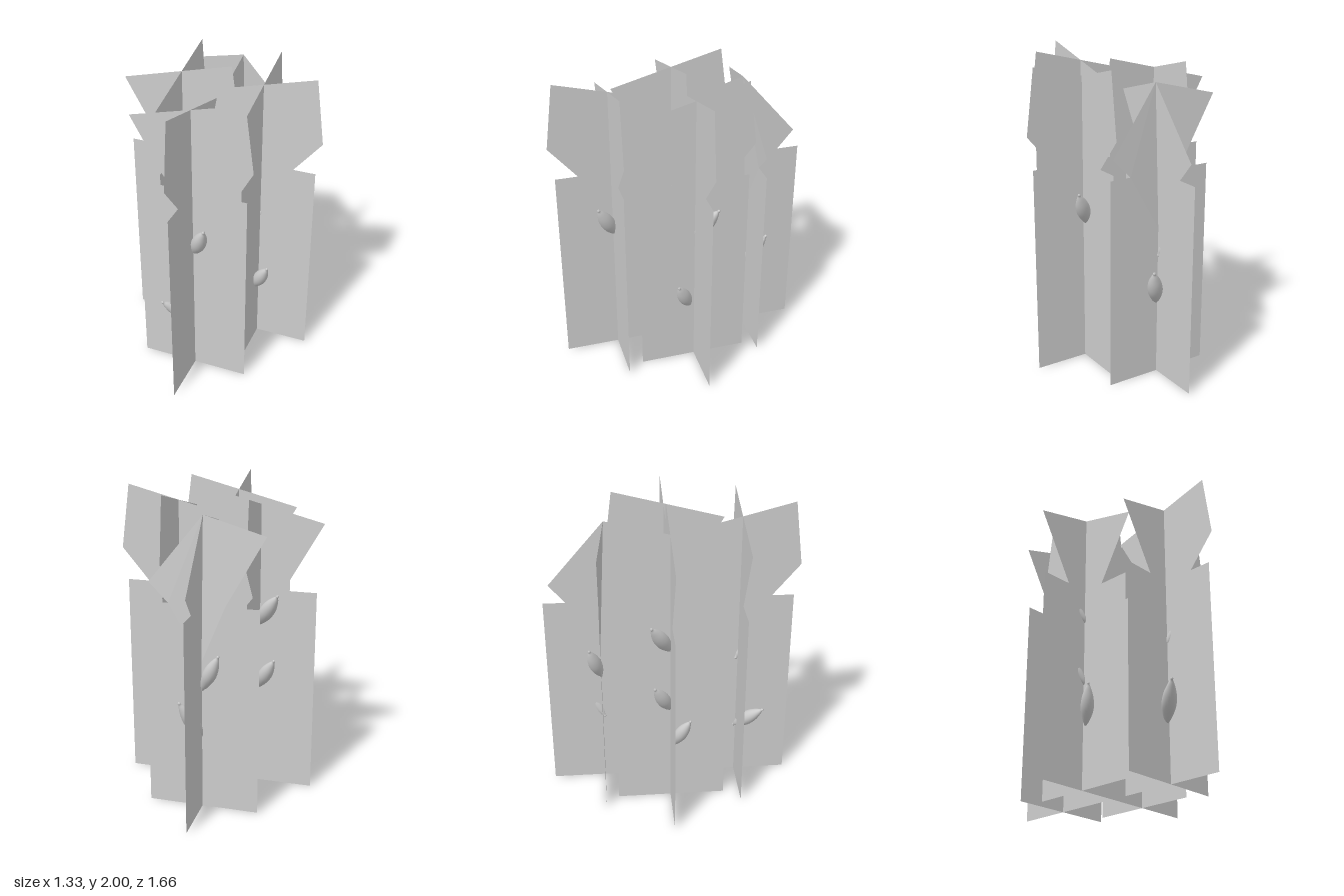
import * as THREE from 'three';

const grey = new THREE.MeshStandardMaterial({ color: 0xcccccc, side: THREE.DoubleSide });
grey.name = 'pale grey';

const shapeOf = pts => new THREE.ShapeGeometry(new THREE.Shape(pts.map(p => new THREE.Vector2(...p))));

// Outline pieces of a leaf sheet: a tall base, a neck and a slanted head
const base = [[-0.365, 0], [0.355, 0], [0.355, 1.365], [0.21, 1.365]];
const neck = [[-0.15, 1.365], [-0.365, 1.365]];
const leaf = [...base, [0.39, 1.58], [0.335, 2], [-0.4, 1.81], ...neck];
const droopingLeaf = [...base, [0.315, 1.49], [-0.05, 1.91], [-0.4, 1.81], ...neck];

function add(group, geometry, name) {
  const mesh = new THREE.Mesh(geometry, grey);
  mesh.name = name;
  group.add(mesh);
  return mesh;
}

// Leaf sheet whose head is creased forward along the middle
function foldedLeaf(group) {
  add(group, shapeOf([...base, [0, 1], ...neck]), 'foldedLeafBase');
  const apex = [0, 1.91, 0.05], mid = [0, 1, 0];
  const rightNeck = [0.21, 1.365, 0], rightTip = [0.335, 1.49, 0];
  const leftNeck = [-0.15, 1.365, 0], leftTip = [-0.4, 1.81, 0];
  const faces = [
    mid, rightNeck, apex, rightNeck, rightTip, apex,
    mid, apex, leftNeck, leftNeck, apex, leftTip,
  ];
  const geometry = new THREE.BufferGeometry();
  geometry.setAttribute('position', new THREE.Float32BufferAttribute(faces.flat(), 3));
  geometry.computeVertexNormals();
  add(group, geometry, 'foldedLeafHead');
}

// Spindle bud of unit length with a small nub at each end
const budProfile = new THREE.SplineCurve([
  [0.001, 0], [0.03, 0.015], [0.035, 0.05], [0.08, 0.15], [0.13, 0.34], [0.143, 0.5],
  [0.12, 0.68], [0.065, 0.85], [0.028, 0.93], [0.028, 0.97], [0.001, 1],
].map(p => new THREE.Vector2(...p))).getPoints(28);
const budGeometry = new THREE.LatheGeometry(budProfile, 20);

function addBud(group, from, to) {
  const start = new THREE.Vector3(...from);
  const dir = new THREE.Vector3(...to).sub(start);
  const bud = add(group, budGeometry, 'bud');
  bud.position.copy(start);
  bud.scale.setScalar(dir.length());
  bud.quaternion.setFromUnitVectors(new THREE.Vector3(0, 1, 0), dir.normalize());
}

export function createModel() {
  const model = new THREE.Group();
  model.name = 'leafCluster';

  // Four stalks, each of two crossed sheets; buds are listed as start and tip
  const stalks = [
    { name: 'frontStalk', x: 0, z: 0.442, turn: -1, buds: [
      [[0, 0.9, 0.425], [0.123, 1.175, 0.56]],
      [[-0.005, 0.375, 0.425], [-0.16, 0.59, 0.605]]] },
    { name: 'leftStalk', x: 0.277, z: -0.033, turn: 1, buds: [
      [[0.25, 0.4, -0.01], [0.385, 0.66, 0.105]],
      [[0.25, 0.945, -0.035], [0.385, 1.205, -0.16]]] },
    { name: 'rightStalk', x: -0.265, z: -0.033, turn: 1, buds: [
      [[-0.245, 1.12, -0.025], [-0.41, 1.37, -0.165]],
      [[-0.245, 0.68, -0.025], [-0.39, 0.93, -0.145]],
      [[-0.25, 0.4, -0.02], [-0.35, 0.65, 0.095]]] },
    { name: 'backStalk', x: 0, z: -0.475, turn: 1, folded: true, buds: [
      [[0, 0.485, -0.46], [0.115, 0.77, -0.6]],
      [[0, 0.81, -0.475], [-0.13, 1.08, -0.55]]] },
  ];

  for (const s of stalks) {
    const stalk = new THREE.Group();
    stalk.name = s.name;

    const sheets = new THREE.Group();
    sheets.name = 'crossedLeaves';
    sheets.position.set(s.x, 0, s.z);
    if (s.folded) foldedLeaf(sheets);
    else add(sheets, shapeOf(leaf), 'wideLeaf');
    add(sheets, shapeOf(s.folded ? droopingLeaf : leaf), 'deepLeaf').rotation.y = s.turn * Math.PI / 2;
    stalk.add(sheets);

    for (const [from, to] of s.buds) addBud(stalk, from, to);
    model.add(stalk);
  }
  return model;
}
